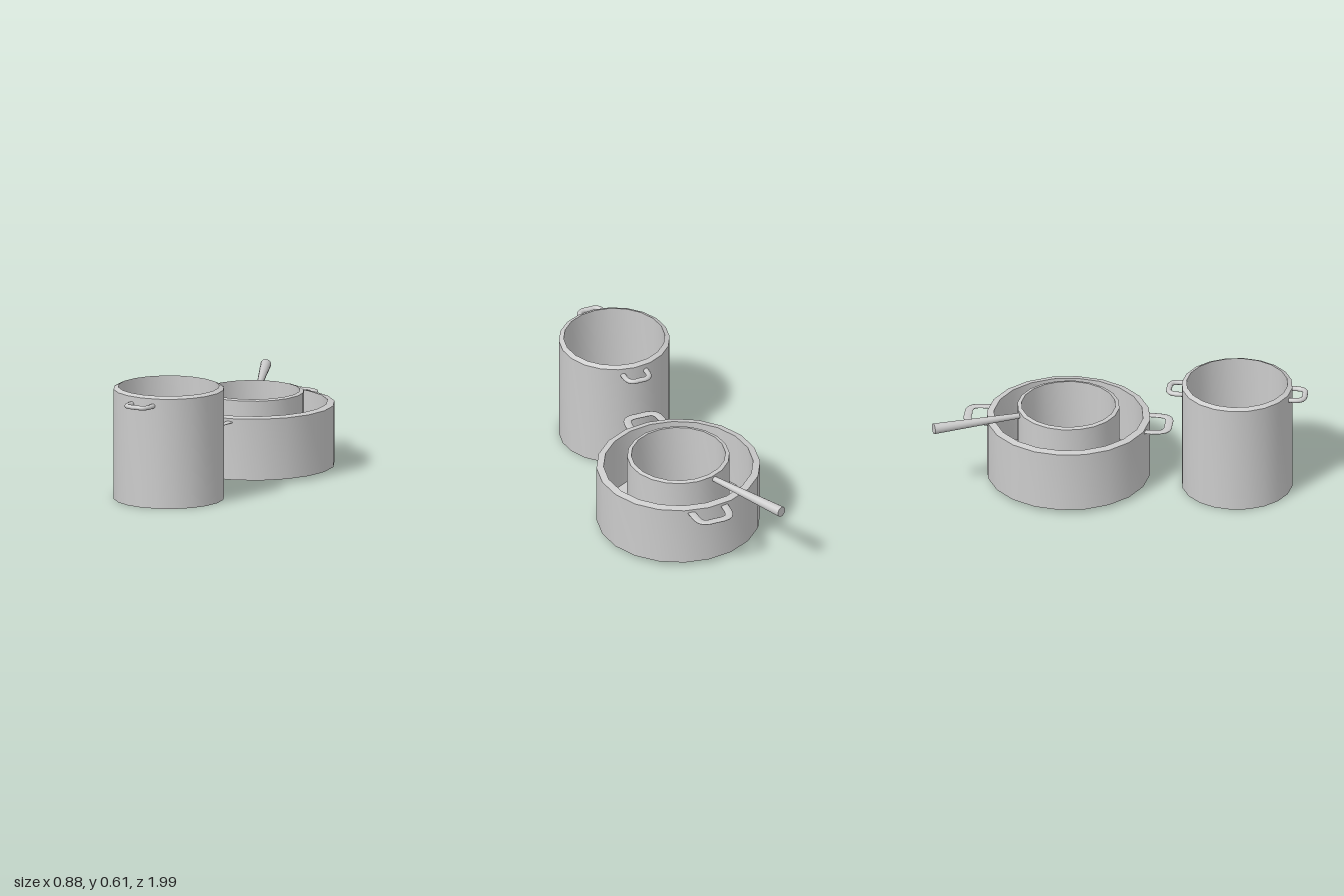
import * as THREE from 'three';
import { toCreasedNormals } from 'three/addons/utils/BufferGeometryUtils.js';

const material = new THREE.MeshStandardMaterial({ color: 0xcccccc });

function addMesh(parent, name, geometry) {
  const mesh = new THREE.Mesh(geometry, material);
  mesh.name = name;
  parent.add(mesh);
  return mesh;
}

// Hollow 20-sided vessel whose rim rises slightly towards the inside
function vesselGeometry({ radius, inner, bottom, top, bevel, floor }) {
  const profile = [
    [0, bottom], [radius, bottom], [radius, top - bevel],
    [inner, top], [inner, bottom + floor], [0, bottom + floor],
  ].map(([x, y]) => new THREE.Vector2(x, y));
  return toCreasedNormals(new THREE.LatheGeometry(profile, 20), Math.PI / 7);
}

// Flattened loop: two arms from the wall, rounded corners and a grip
function loopHandleGeometry({ baseX, gripX, start, reach, width, height }) {
  const half = [[gripX * 0.5, reach], [gripX * 0.85, reach - 0.012], [gripX, reach - 0.036], [baseX, start]];
  const points = [
    ...half.slice().reverse().map(([x, z]) => new THREE.Vector3(-x, 0, z)),
    new THREE.Vector3(0, 0, reach),
    ...half.map(([x, z]) => new THREE.Vector3(x, 0, z)),
  ];
  const curve = new THREE.CatmullRomCurve3(points, false, 'centripetal');
  return new THREE.TubeGeometry(curve, 28, width / 2, 10).scale(1, height / width, 1);
}

function createPot(name, z, vessel, handle) {
  const pot = new THREE.Group();
  pot.name = name;
  pot.position.z = z;
  addMesh(pot, 'body', vesselGeometry(vessel));
  if (handle) {
    const geometry = loopHandleGeometry(handle);
    for (const side of ['front', 'back']) {
      const mesh = addMesh(pot, side + 'Handle', geometry);
      mesh.position.y = handle.y;
      mesh.rotation.y = side === 'front' ? 0 : Math.PI;
    }
  }
  return pot;
}

export function createModel() {
  const model = new THREE.Group();
  model.name = 'cookware';

  // Tall stock pot at the front
  model.add(createPot('stockPot', 0.615,
    { radius: 0.298, inner: 0.272, bottom: 0, top: 0.612, bevel: 0.012, floor: 0.03 },
    { y: 0.56, baseX: 0.065, gripX: 0.064, start: 0.28, reach: 0.365, width: 0.03, height: 0.025 }));

  // Wide casserole behind it
  model.add(createPot('casserole', -0.295,
    { radius: 0.44, inner: 0.402, bottom: 0.02, top: 0.363, bevel: 0.008, floor: 0.03 },
    { y: 0.334, baseX: 0.095, gripX: 0.088, start: 0.42, reach: 0.54, width: 0.044, height: 0.012 }));

  // Small saucepan nested in the casserole
  const saucepan = createPot('saucepan', -0.295,
    { radius: 0.275, inner: 0.253, bottom: 0.052, top: 0.425, bevel: 0.006, floor: 0.02 });
  model.add(saucepan);

  // Tapered stick handle, thicker at its free end
  const from = new THREE.Vector3(-0.105, 0.397, -0.255);
  const to = new THREE.Vector3(-0.315, 0.405, -0.692);
  const direction = to.clone().sub(from);
  const stick = addMesh(saucepan, 'stickHandle',
    new THREE.CylinderGeometry(0.029, 0.015, direction.length(), 16));
  stick.position.copy(from).add(to).multiplyScalar(0.5);
  stick.quaternion.setFromUnitVectors(new THREE.Vector3(0, 1, 0), direction.normalize());

  return model;
}
